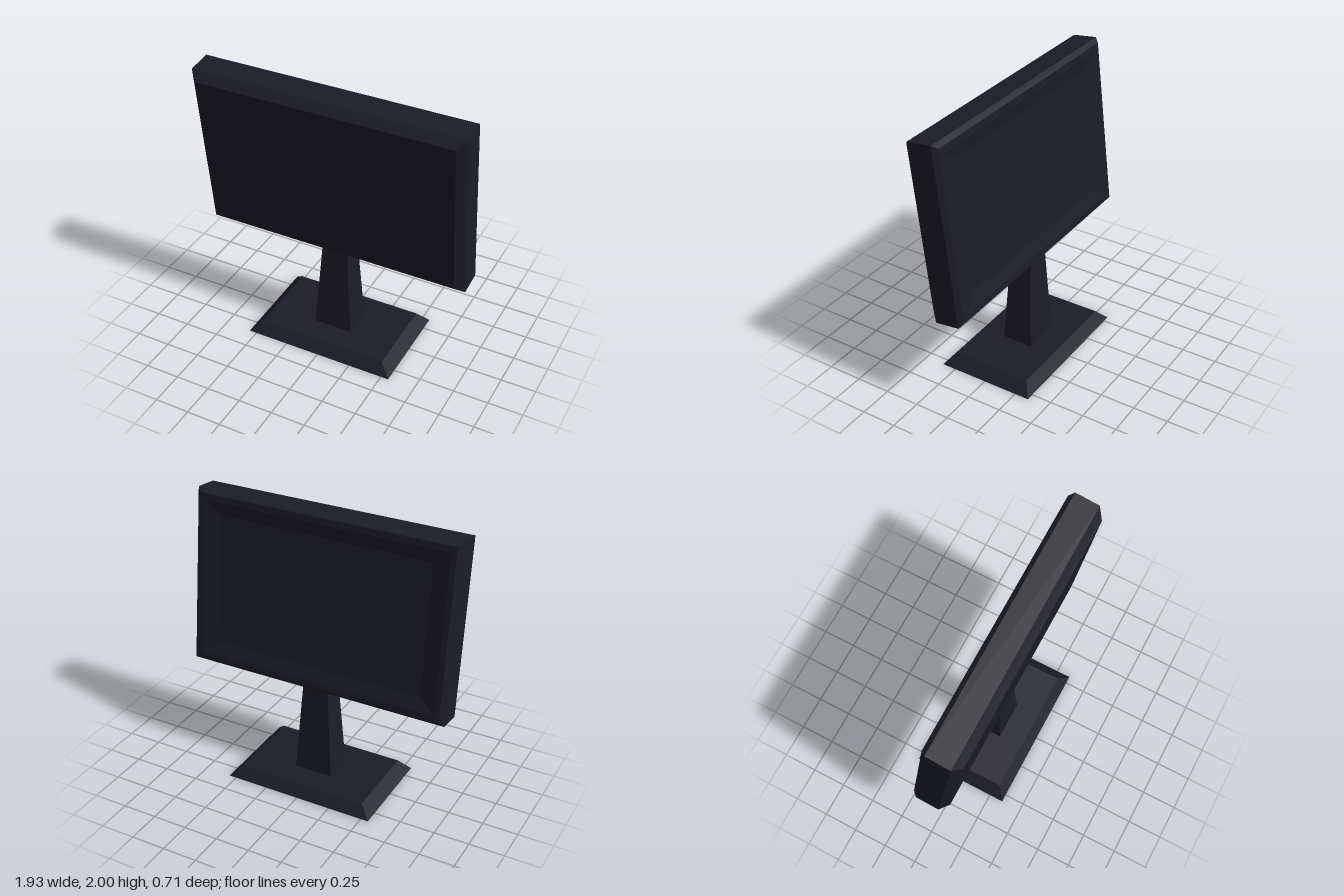
import * as THREE from 'three';

const body = new THREE.MeshStandardMaterial({ color: 0x1c1c27, side: THREE.DoubleSide, flatShading: true });
body.name = 'dark casing';
const trim = new THREE.MeshStandardMaterial({ color: 0x191923, flatShading: true });
trim.name = 'button trim';

// Joins rectangular rings [halfWidth, halfHeight, z], ordered from +z to -z
function loft(rings, capFront, capBack) {
  const pts = [];
  const corners = rings.map(([x, y, z]) => [[-x, -y, z], [x, -y, z], [x, y, z], [-x, y, z]]);
  const quad = (a, b, c, d) => pts.push(...a, ...b, ...c, ...a, ...c, ...d);
  for (let i = 0; i < corners.length - 1; i++) {
    const f = corners[i], b = corners[i + 1];
    for (let k = 0; k < 4; k++) {
      const n = (k + 1) % 4;
      quad(f[k], b[k], b[n], f[n]);
    }
  }
  const first = corners[0], last = corners[corners.length - 1];
  if (capFront) quad(...first);
  if (capBack) quad(last[3], last[2], last[1], last[0]);
  const geo = new THREE.BufferGeometry();
  geo.setAttribute('position', new THREE.Float32BufferAttribute(pts, 3));
  geo.computeVertexNormals();
  return geo;
}

function add(parent, name, geo, mat) {
  const mesh = new THREE.Mesh(geo, mat);
  mesh.name = name;
  parent.add(mesh);
  return mesh;
}

export function createModel() {
  const model = new THREE.Group();
  model.name = 'monitor';

  // Stand: open-bottomed bevelled foot and tapered post, lofted along y
  const base = add(model, 'base', loft([[0.475, 0.29, 0.08], [0.555, 0.353, 0]], true, false), body);
  const post = add(model, 'post', loft([[0.095, 0.08, 0.742], [0.14, 0.114, 0.08]], true, false), body);
  base.rotation.x = post.rotation.x = -Math.PI / 2;

  // Tilted display, with the screen on the -z side
  const tilt = new THREE.Group();
  tilt.name = 'display';
  tilt.rotation.x = 0.118;
  model.add(tilt);
  const display = new THREE.Group();
  display.name = 'displayPanel';
  display.position.y = 1.362;
  tilt.add(display);

  // Casing with a narrow bezel and a shallow slope down to the screen
  add(display, 'casing', loft([
    [0.908, 0.572, 0.046],
    [0.965, 0.63, -0.009],
    [0.965, 0.63, -0.184],
    [0.935, 0.602, -0.215],
    [0.895, 0.555, -0.215],
    [0.78, 0.465, -0.195],
  ], true, false), body);

  // Screen
  const screen = add(display, 'screen', new THREE.PlaneGeometry(1.56, 0.93), body);
  screen.rotation.y = Math.PI;
  screen.position.z = -0.195;

  // Thin button strip on the lower bezel
  const buttons = add(display, 'buttonStrip', new THREE.BoxGeometry(0.26, 0.035, 0.006), trim);
  buttons.position.set(-0.67, -0.574, -0.215);

  return model;
}
